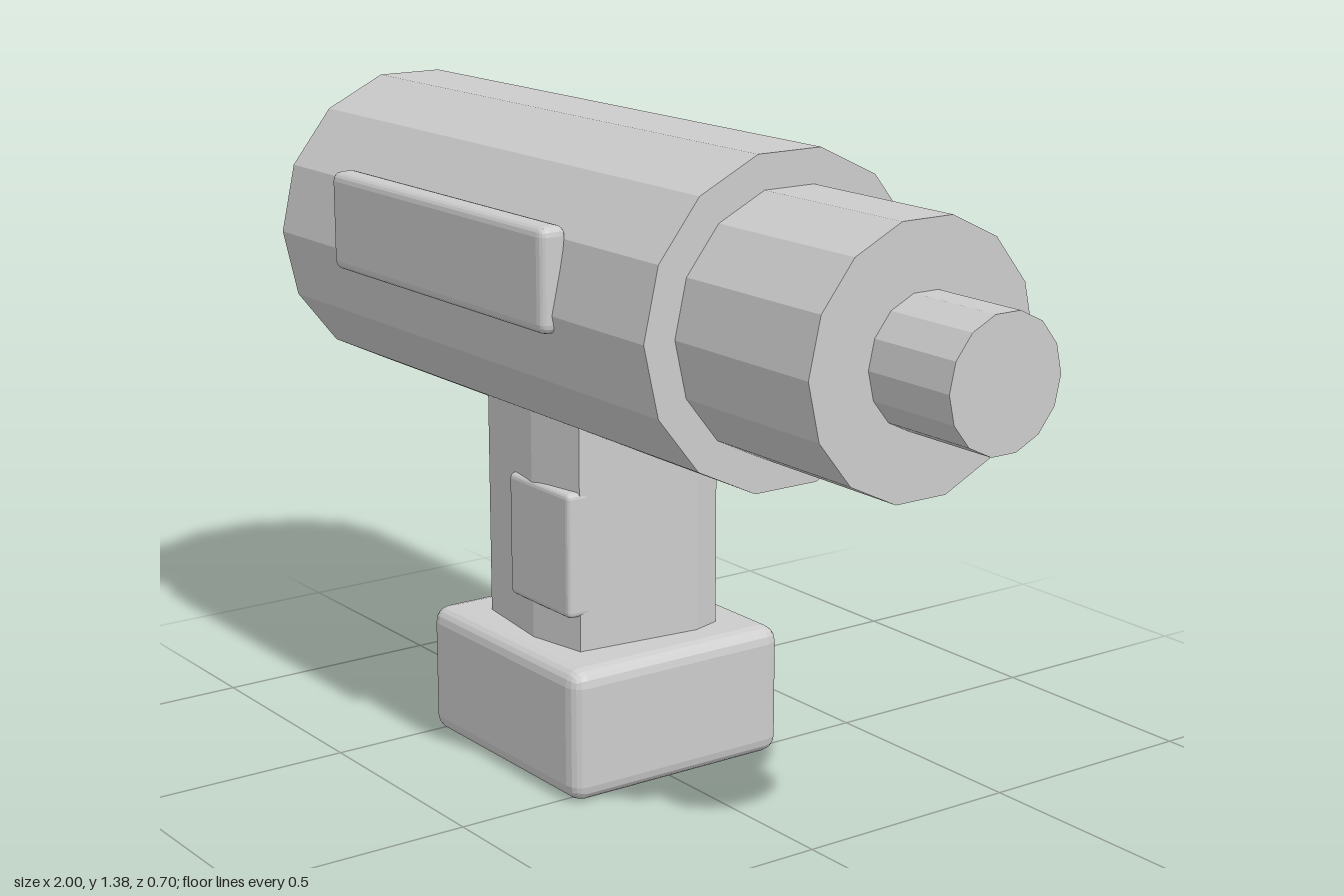
import * as THREE from 'three';
import { RoundedBoxGeometry } from 'three/addons/geometries/RoundedBoxGeometry.js';

export function createModel() {
  const group = new THREE.Group();
  const grey = new THREE.MeshStandardMaterial({ color: 0xcccccc });
  grey.name = 'plain grey';
  grey.flatShading = true;

  const add = (name, geometry, x = 0, y = 0, z = 0) => {
    const mesh = new THREE.Mesh(geometry, grey);
    mesh.name = name;
    mesh.position.set(x, y, z);
    group.add(mesh);
  };

  // Fourteen-sided barrel sections along x
  const barrel = (name, x0, x1, radius) => {
    const geometry = new THREE.CylinderGeometry(radius, radius, x1 - x0, 14);
    geometry.rotateZ(-Math.PI / 2);
    add(name, geometry, (x0 + x1) / 2, 1.046, -0.01);
  };
  barrel('motorHousing', -1, 0.39, 0.338);
  barrel('chuck', 0.39, 0.785, 0.267);
  barrel('bit', 0.785, 1, 0.131);

  // Rounded box given by its limits on each axis
  const block = (name, [x0, x1], [y0, y1], [z0, z1], radius) => {
    const geometry = new RoundedBoxGeometry(x1 - x0, y1 - y0, z1 - z0, 2, radius);
    add(name, geometry, (x0 + x1) / 2, (y0 + y1) / 2, (z0 + z1) / 2);
  };
  block('batteryBase', [-0.517, 0.047], [0, 0.285], [-0.276, 0.257], 0.035);
  block('sidePanel', [-0.735, 0.085], [1.008, 1.22], [0.288, 0.35], 0.02);
  block('trigger', [-0.29, -0.065], [0.36, 0.628], [0.13, 0.194], 0.012);

  // Faceted handle: cross-section in x, z extruded upward into the housing
  const section = [
    [-0.205, 0.191], [-0.067, 0.165], [-0.04, -0.115], [-0.06, -0.18],
    [-0.18, -0.203], [-0.4, -0.18], [-0.43, -0.065], [-0.41, 0.165],
  ].map(([x, z]) => new THREE.Vector2(x, -z));
  const handle = new THREE.ExtrudeGeometry(new THREE.Shape(section), { depth: 0.75, bevelEnabled: false });
  handle.rotateX(-Math.PI / 2);
  add('handle', handle, 0, 0.2, 0);

  return group;
}
